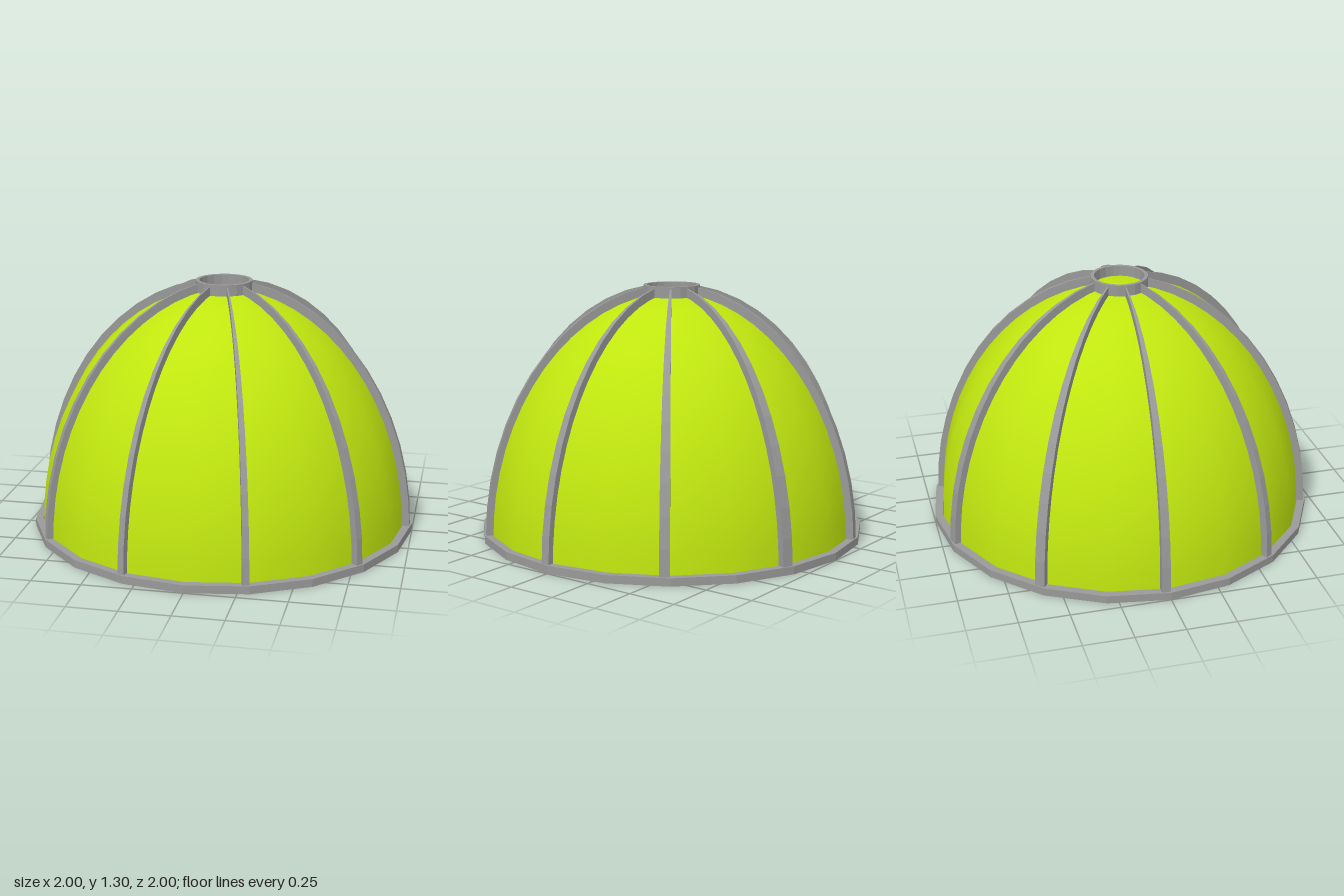
import * as THREE from 'three';

const SIDES = 20, RIBS = 10, STEPS = 12;
const frameMat = new THREE.MeshStandardMaterial({ color: 0x999999, flatShading: true });
const panelMat = new THREE.MeshStandardMaterial({ color: 0xc0e60f, side: THREE.DoubleSide });

// Square-section hoop, faceted like the dome
function hoop(name, rIn, rOut, y0, y1) {
  const profile = [[rIn, y0], [rOut, y0], [rOut, y1], [rIn, y1], [rIn, y0]]
    .map(([r, y]) => new THREE.Vector2(r, y));
  const mesh = new THREE.Mesh(new THREE.LatheGeometry(profile, SIDES), frameMat);
  mesh.name = name;
  return mesh;
}

// Wedge-shaped rib following the dome's elliptical meridian, from the base up to the crown ring
function ribGeometry(angle, width) {
  const section = (t) => [[0.95, 1.24, 0], [0.99, 1.3, 0], [0.99, 1.3, width], [0.95, 1.24, width]]
    .map(([a, b, w]) => {
      const r = a * Math.cos(t);
      return [r * Math.cos(angle + w), b * Math.sin(t), r * Math.sin(angle + w)];
    });
  const pos = [];
  const quad = (a, b, c, d) => pos.push(...a, ...b, ...c, ...a, ...c, ...d);
  const t0 = 0.015, t1 = 1.432;
  const rows = Array.from({ length: STEPS + 1 }, (_, i) => section(t0 + (t1 - t0) * i / STEPS));
  for (let i = 0; i < STEPS; i++) {
    const lo = rows[i], hi = rows[i + 1];
    for (let k = 0; k < 4; k++) {
      const n = (k + 1) % 4;
      quad(lo[k], hi[k], hi[n], lo[n]);
    }
  }
  const [a, b, c, d] = rows[0], [e, f, g, h] = rows[STEPS];
  quad(a, b, c, d);
  quad(h, g, f, e);
  const geo = new THREE.BufferGeometry();
  geo.setAttribute('position', new THREE.Float32BufferAttribute(pos, 3));
  geo.computeVertexNormals();
  return geo;
}

export function createModel() {
  const model = new THREE.Group();
  model.name = 'dome';

  // Smooth shell, closed beneath the crown ring
  const curve = [];
  for (let i = 0; i <= 16; i++) {
    const t = (i / 16) * Math.PI / 2;
    curve.push(new THREE.Vector2(i === 16 ? 0 : 0.957 * Math.cos(t), 0.005 + 1.25 * Math.sin(t)));
  }
  const shell = new THREE.Mesh(new THREE.LatheGeometry(curve, SIDES), panelMat);
  shell.name = 'domePanels';
  model.add(shell);

  // Base rim and crown ring
  model.add(hoop('baseRim', 0.96, 1, 0, 0.04));
  model.add(hoop('crownRing', 0.128, 0.146, 1.235, 1.296));

  // Ribs, a little broader towards the back
  const ribs = new THREE.Group();
  ribs.name = 'ribs';
  for (let i = 0; i < RIBS; i++) {
    const angle = (i / RIBS) * Math.PI * 2;
    const rib = new THREE.Mesh(ribGeometry(angle, 0.045 - 0.012 * Math.sin(angle)), frameMat);
    rib.name = 'rib' + (i + 1);
    ribs.add(rib);
  }
  model.add(ribs);
  return model;
}
